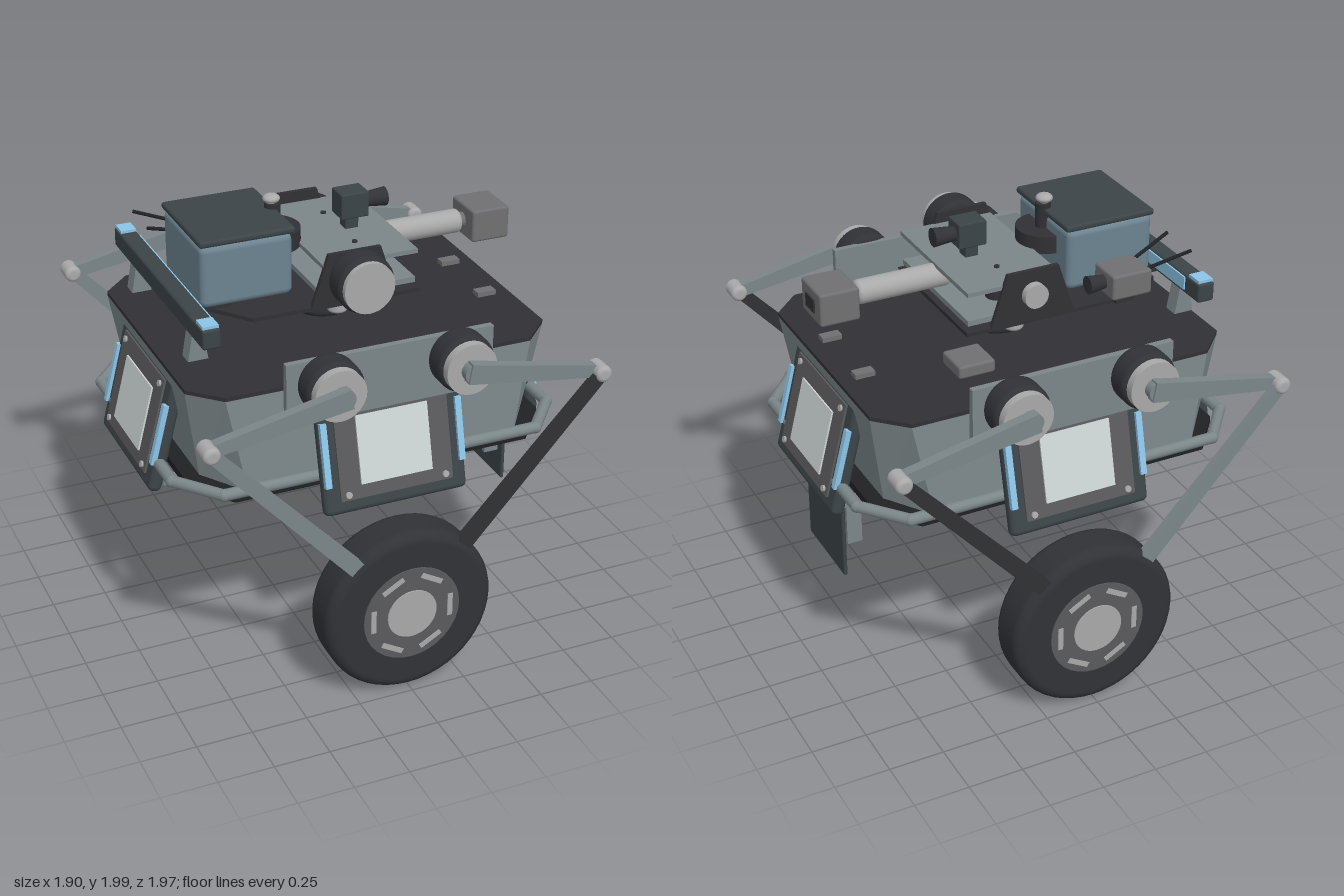
import * as THREE from 'three';
import { RoundedBoxGeometry } from 'three/addons/geometries/RoundedBoxGeometry.js';

const mat = (color, extra = {}) => new THREE.MeshStandardMaterial({ color, ...extra });
const M = {
  hull: mat(0x7b8688), dark: mat(0x3c4447), deck: mat(0x313135), black: mat(0x202123),
  tyre: mat(0x303236), rim: mat(0x5a5a5c), light: mat(0xa9a9a9), grey: mat(0x707072),
  tank: mat(0x6c8390), blue: mat(0x8cc4e6), white: mat(0xccd4d4),
};
const V = (x, y, z) => new THREE.Vector3(x, y, z);

function add(parent, name, geo, material, x = 0, y = 0, z = 0) {
  const m = new THREE.Mesh(geo, material);
  m.name = name;
  m.position.set(x, y, z);
  parent.add(m);
  return m;
}
// Box given by its extents
function box(parent, name, material, x0, x1, y0, y1, z0, z1, r = 0) {
  const s = [x1 - x0, y1 - y0, z1 - z0];
  const g = r ? new RoundedBoxGeometry(...s, 2, r) : new THREE.BoxGeometry(...s);
  return add(parent, name, g, material, (x0 + x1) / 2, (y0 + y1) / 2, (z0 + z1) / 2);
}
// Cylinder along an axis, centred on a point
function cyl(parent, name, material, axis, r, len, x, y, z, r2 = r) {
  const m = add(parent, name, new THREE.CylinderGeometry(r2, r, len, 32), material, x, y, z);
  if (axis === 'x') m.rotation.z = -Math.PI / 2;
  if (axis === 'z') m.rotation.x = Math.PI / 2;
  return m;
}
// Round rod between two points
function rod(parent, name, material, a, b, r) {
  const m = add(parent, name, new THREE.CylinderGeometry(r, r, a.distanceTo(b), 12), material);
  m.position.copy(a).lerp(b, 0.5);
  m.quaternion.setFromUnitVectors(V(0, 1, 0), b.clone().sub(a).normalize());
  return m;
}
// Flat bar in an xy plane, tapering from width wa to wb
function bar(parent, name, material, a, b, wa, wb, thick) {
  const d = b.clone().sub(a).normalize(), n = V(-d.y, d.x, 0);
  const p = [[a, wa], [b, wb], [b, -wb], [a, -wa]].map(([q, w]) => new THREE.Vector2(q.x + n.x * w / 2, q.y + n.y * w / 2));
  const g = new THREE.ExtrudeGeometry(new THREE.Shape(p), { depth: thick, bevelEnabled: false });
  return add(parent, name, g, material, 0, 0, a.z - thick / 2);
}
// Barrel turned about z with rounded shoulders, centred at the origin
function drum(r, half, round, inner = 0.001) {
  const p = [new THREE.Vector2(inner, -half)];
  for (const s of [-1, 1]) for (let i = 0; i <= 6; i++) {
    const t = (s < 0 ? i : 6 - i) / 6 * Math.PI / 2;
    p.push(new THREE.Vector2(r - round + round * Math.sin(t), s * (half - round + round * Math.cos(t))));
  }
  p.push(new THREE.Vector2(inner, half));
  return new THREE.LatheGeometry(p, 48).rotateX(Math.PI / 2);
}
// Chamfered rectangle: half sizes x, z and chamfer corners cx, cz
const octagon = (x, z, cx, cz) => [[x, -cz], [x, cz], [cx, z], [-cx, z], [-x, cz], [-x, -cz], [-cx, -z], [cx, -z]];
function loft(lower, y0, upper, y1) {
  const v = [];
  lower.forEach((p, i) => {
    const j = (i + 1) % lower.length;
    const a0 = [p[0], y0, p[1]], b0 = [lower[j][0], y0, lower[j][1]];
    const a1 = [upper[i][0], y1, upper[i][1]], b1 = [upper[j][0], y1, upper[j][1]];
    v.push(...a0, ...a1, ...b0, ...a1, ...b1, ...b0, 0, y1, 0, ...b1, ...a1, 0, y0, 0, ...a0, ...b0);
  });
  const g = new THREE.BufferGeometry();
  g.setAttribute('position', new THREE.Float32BufferAttribute(v, 3));
  g.computeVertexNormals();
  return g;
}

function sidePanel(parent, name, yaw, dist) {
  const turn = new THREE.Group(), p = new THREE.Group();
  turn.name = name;
  turn.rotation.y = yaw;
  p.position.set(0, 1.12, dist);
  p.rotation.x = -0.25;
  box(p, 'panelFrame', M.dark, -0.33, 0.33, -0.27, 0.27, -0.03, 0.03, 0.025);
  box(p, 'panelInset', M.rim, -0.26, 0.26, -0.21, 0.23, 0.02, 0.04);
  box(p, 'panelPlate', M.white, -0.165, 0.165, -0.15, 0.15, 0.03, 0.048);
  for (const s of [-1, 1]) {
    box(p, 'lightStrip', M.blue, s * 0.31 - 0.014, s * 0.31 + 0.014, -0.14, 0.14, 0.02, 0.045);
    for (const y of [-0.185, 0.2]) cyl(p, 'bolt', M.light, 'z', 0.014, 0.02, s * 0.225, y, 0.04);
  }
  turn.add(p);
  parent.add(turn);
}

// One balancing wheel unit on the +z side
function wheelUnit() {
  const g = new THREE.Group();
  box(g, 'motorPlate', M.hull, -0.47, 0.47, 1.29, 1.57, 0.7, 0.73);
  add(g, 'tyre', drum(0.39, 0.105, 0.05), M.tyre, 0, 0.4, 0.868);
  for (const s of [-1, 1]) {
    const z = 0.868 + s * 0.105;
    cyl(g, 'rim', M.rim, 'z', 0.225, 0.01, 0, 0.4, z);
    cyl(g, 'hubCap', M.light, 'z', 0.115, 0.02, 0, 0.4, z);
    for (let i = 0; i < 6; i++) {
      const a = i * Math.PI / 3;
      const slot = add(g, 'rimSlot', new THREE.BoxGeometry(0.024, 0.11, 0.016), M.light, 0.18 * Math.cos(a), 0.4 + 0.18 * Math.sin(a), z);
      slot.rotation.z = a;
    }
    // Hip motor, tapered arm, knee joint and strut
    add(g, 'hipMotor', drum(0.13, 0.065, 0.03), M.tyre, s * 0.295, 1.47, 0.785);
    cyl(g, 'hipCap', M.light, 'z', 0.115, 0.04, s * 0.295, 1.47, 0.865);
    bar(g, 'upperArm', M.hull, V(s * 0.265, 1.475, 0.912), V(s * 0.88, 1.365, 0.912), 0.09, 0.055, 0.045);
    cyl(g, 'armHub', M.hull, 'z', 0.045, 0.05, s * 0.29, 1.47, 0.9);
    add(g, 'kneeJoint', drum(0.038, 0.055, 0.02), M.light, s * 0.88, 1.365, 0.92);
    return_strut(g, s);
  }
  return g;
}
function return_strut(g, s) {
  bar(g, 'strut', s > 0 ? M.deck : M.hull, V(s * 0.88, 1.365, 0.945), V(s * 0.2, 0.62, 0.945), 0.055, 0.075, 0.036);
}

export function createModel() {
  const root = new THREE.Group();

  // Hull
  const low = octagon(0.76, 0.67, 0.62, 0.46), top = octagon(0.83, 0.64, 0.7, 0.51);
  add(root, 'hull', loft(low, 0.98, top, 1.41), M.hull);
  add(root, 'deck', loft(top, 1.41, top, 1.428), M.deck);
  add(root, 'underside', loft(octagon(0.83, 0.68, 0.68, 0.5), 0.95, octagon(0.83, 0.68, 0.68, 0.5), 0.985), M.black);
  box(root, 'bellyHatch', M.deck, -0.1, 0.1, 0.935, 0.955, -0.1, 0.1);
  box(root, 'deckBox', M.grey, 0.2, 0.37, 1.425, 1.485, -0.4, -0.23, 0.012);

  // Bumper rail around the hull
  const rail = octagon(0.89, 0.675, 0.73, 0.48).map(([x, z]) => V(x, 0.995, z));
  rail.forEach((p, i) => {
    rod(root, 'bumperRail', M.hull, p, rail[(i + 1) % 8], 0.026);
    add(root, 'railElbow', new THREE.SphereGeometry(0.028, 12, 8), M.hull, p.x, p.y, p.z);
  });

  // Panels on all four sides
  [['frontPanel', 0.725], ['leftPanel', 0.85], ['backPanel', 0.725], ['rightPanel', 0.85]]
    .forEach(([n, d], i) => sidePanel(root, n, i * Math.PI / 2, d));

  // Under-hull brackets, two per side
  for (let i = 0; i < 4; i++) for (const s of [-1, 1]) {
    const b = new THREE.Group(), o = i % 2 ? 0.84 : 0.72, x = s * 0.19;
    b.name = 'underBracket';
    b.rotation.y = i * Math.PI / 2;
    box(b, 'bracketFoot', M.hull, x - 0.025, x + 0.025, 0.815, 0.84, o - 0.28, o);
    box(b, 'bracketPost', M.hull, x - 0.02, x + 0.02, 0.83, 0.96, o - 0.27, o - 0.24);
    rod(b, 'bracketBrace', M.hull, V(x, 0.83, o - 0.2), V(x, 0.96, o - 0.12), 0.014);
    rod(b, 'bracketBrace', M.hull, V(x, 0.88, o - 0.02), V(x, 0.99, o + 0.02), 0.016);
    root.add(b);
  }

  // Hanging flap on the left side
  box(root, 'flap', M.dark, 0.832, 0.85, 0.45, 0.85, -0.2, 0.2, 0.008);
  for (const s of [-1, 1]) box(root, 'flapGusset', M.hull, 0.75, 0.82, 0.6, 0.84, s * 0.17 - 0.012, s * 0.17 + 0.012);

  // Wheel units front and back
  for (const s of [1, -1]) {
    const w = wheelUnit();
    w.name = s > 0 ? 'frontWheelUnit' : 'backWheelUnit';
    if (s < 0) {
      w.scale.z = -1;
    }
    root.add(w);
  }

  // Turret base and plates
  add(root, 'turntable', drum(0.14, 0.07, 0.03).rotateX(Math.PI / 2), M.tyre, 0, 1.5, 0);
  cyl(root, 'turntableNeck', M.light, 'y', 0.08, 0.06, 0, 1.58, 0);
  for (const z of [-0.17, 0.17]) add(root, 'turretRoller', drum(0.045, 0.03, 0.015).rotateX(Math.PI / 2), M.light, 0, 1.51, z);
  const plate = new THREE.Shape([[-0.66, -0.1], [-0.46, -0.35], [0.31, -0.35], [0.31, 0.35], [-0.46, 0.35], [-0.66, 0.24]].map(p => new THREE.Vector2(...p)));
  add(root, 'turretPlate', new THREE.ExtrudeGeometry(plate, { depth: 0.018, bevelEnabled: false }).rotateX(-Math.PI / 2), M.deck, 0, 1.592, 0);
  box(root, 'lowerPlate', M.hull, -0.14, 0.295, 1.63, 1.655, -0.33, 0.33);
  box(root, 'upperPlate', M.hull, -0.14, 0.3, 1.77, 1.79, -0.34, 0.34);
  for (const z of [-0.17, 0.17]) {
    cyl(root, 'plateBolt', M.deck, 'y', 0.012, 0.01, 0.08, 1.793, z);
    cyl(root, 'platePost', M.deck, 'y', 0.05, 0.13, 0.08, 1.71, z);
  }
  for (const s of [-1, 1]) bar(root, 'turretCheek', M.deck, V(0, 1.6, s * 0.345), V(0, 1.84, s * 0.345), 0.4, 0.24, 0.02);
  add(root, 'pitchMotor', drum(0.13, 0.065, 0.03), M.tyre, 0, 1.73, 0.425);
  cyl(root, 'pitchMotorCap', M.light, 'z', 0.115, 0.03, 0, 1.73, 0.495);
  cyl(root, 'pitchBearing', M.light, 'z', 0.055, 0.05, 0, 1.73, -0.365);

  // Hopper with lid, feeder and antenna
  box(root, 'hopper', M.tank, -0.645, -0.23, 1.63, 1.91, -0.235, 0.235, 0.03);
  box(root, 'hopperLid', M.dark, -0.65, -0.22, 1.91, 1.94, -0.24, 0.24, 0.012);
  cyl(root, 'feederDisc', M.deck, 'y', 0.13, 0.08, -0.24, 1.81, 0);
  cyl(root, 'mast', M.deck, 'y', 0.035, 0.14, -0.23, 1.89, 0);
  cyl(root, 'mastNeck', M.light, 'y', 0.02, 0.04, -0.235, 1.955, 0);
  add(root, 'mastCap', new THREE.SphereGeometry(0.038, 20, 12).scale(1, 0.55, 1), M.light, -0.235, 1.98, 0);

  // Barrel and muzzle box
  cyl(root, 'barrelRoot', M.grey, 'x', 0.04, 0.2, 0.18, 1.725, 0);
  add(root, 'barrel', drum(0.054, 0.215, 0.02).rotateY(Math.PI / 2), M.light, 0.45, 1.725, 0);
  box(root, 'muzzleBox', M.grey, 0.685, 0.865, 1.65, 1.8, -0.105, 0.105, 0.012);
  cyl(root, 'muzzleNeck', M.grey, 'x', 0.035, 0.06, 0.67, 1.725, 0);
  box(root, 'muzzlePort', M.deck, 0.86, 0.872, 1.695, 1.755, -0.045, 0.045);
  for (const s of [-1, 1]) box(root, 'deckClip', M.grey, 0.67, 0.76, 1.42, 1.45, s * 0.18 - 0.025, s * 0.18 + 0.025);

  // Sighting camera
  box(root, 'cameraBody', M.dark, 0.07, 0.2, 1.845, 1.96, -0.055, 0.055, 0.006);
  box(root, 'cameraPost', M.dark, 0.1, 0.16, 1.78, 1.85, -0.03, 0.03);
  cyl(root, 'cameraLens', M.tyre, 'x', 0.032, 0.1, 0.25, 1.902, 0, 0.042);

  // Radio box with lens and whisker antennas
  box(root, 'radioBox', M.grey, -0.53, -0.34, 1.65, 1.765, -0.44, -0.27, 0.012);
  box(root, 'radioStand', M.deck, -0.48, -0.39, 1.6, 1.66, -0.38, -0.25);
  cyl(root, 'radioLens', M.tyre, 'x', 0.03, 0.08, -0.3, 1.71, -0.355, 0.04);
  for (const s of [-1, 1]) rod(root, 'whisker', M.black, V(-0.5, 1.75, -0.355 + s * 0.05), V(-0.71, 1.82, -0.355 + s * 0.1), 0.008);

  // Light bar on the right side
  box(root, 'lightBar', M.dark, -0.765, -0.685, 1.62, 1.71, -0.57, 0.57, 0.012);
  box(root, 'lightBarStrip', M.blue, -0.69, -0.678, 1.64, 1.7, -0.46, 0.46);
  for (const s of [-1, 1]) {
    box(root, 'lightBarEnd', M.blue, -0.76, -0.69, 1.63, 1.722, s * 0.52 - 0.04, s * 0.52 + 0.04);
    bar(root, 'lightBarFoot', M.hull, V(-0.725, 1.49, s * 0.36), V(-0.725, 1.62, s * 0.36), 0.09, 0.045, 0.07);
    box(root, 'lightBarLink', M.deck, -0.7, -0.5, 1.61, 1.64, s * 0.17 - 0.03, s * 0.17 + 0.03);
  }
  return root;
}
